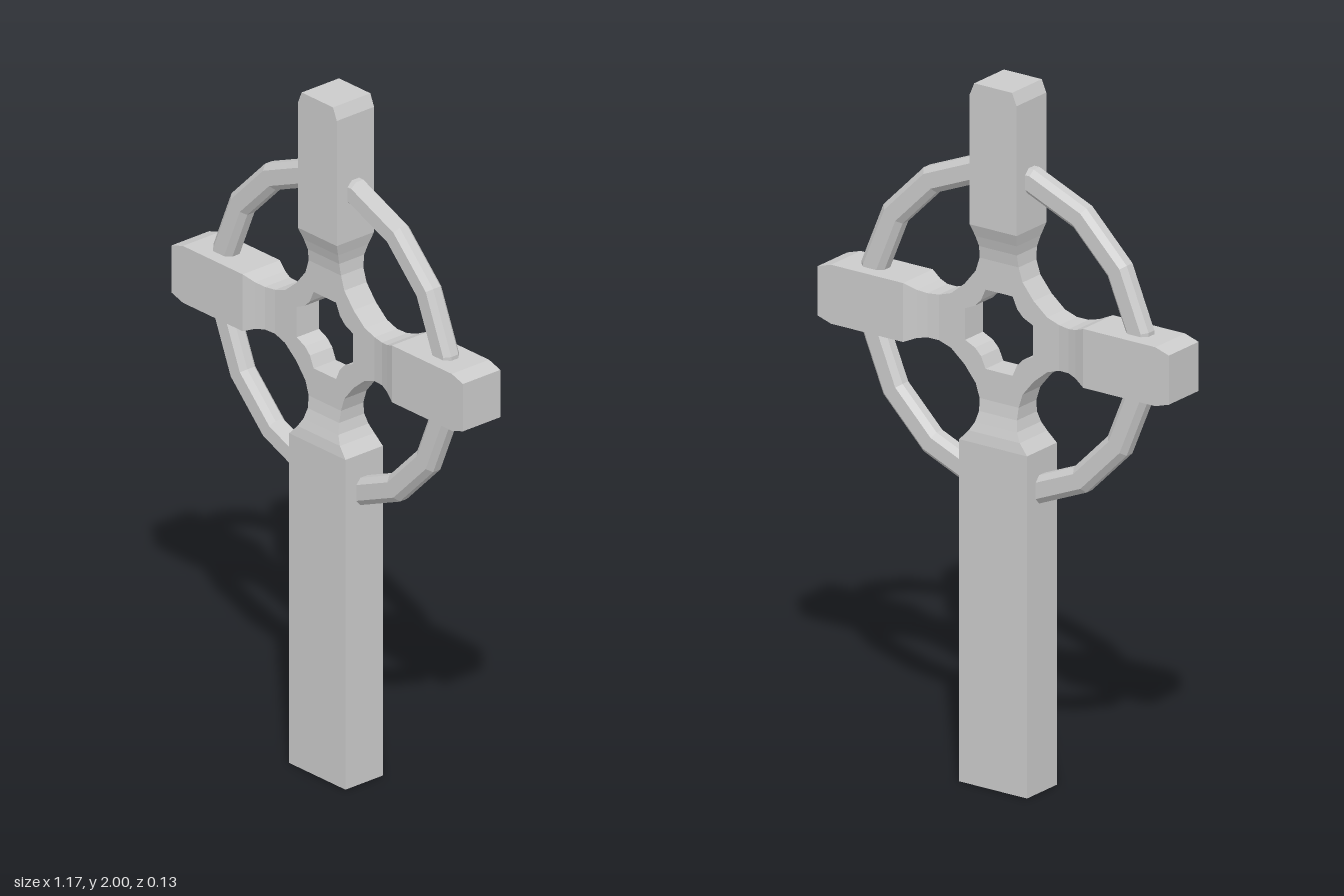
import * as THREE from 'three';

const CY = 1.295; // height of the hub centre
const material = new THREE.MeshStandardMaterial({ color: 0xcccccc, flatShading: true, side: THREE.DoubleSide });

// Skin a list of closed cross-sections (arrays of Vector3); capEnd closes the last one
function loft(sections, { loop = false, capEnd = false } = {}) {
  const n = sections[0].length, pos = [], index = [];
  sections.forEach(s => s.forEach(p => pos.push(p.x, p.y, p.z)));
  const rows = loop ? sections.length : sections.length - 1;
  for (let i = 0; i < rows; i++) {
    const a = i * n, b = ((i + 1) % sections.length) * n;
    for (let j = 0; j < n; j++) {
      const k = (j + 1) % n;
      index.push(a + j, a + k, b + k, a + j, b + k, b + j);
    }
  }
  if (capEnd) {
    const e = (sections.length - 1) * n;
    for (let j = 1; j < n - 1; j++) index.push(e, e + j, e + j + 1);
  }
  const g = new THREE.BufferGeometry();
  g.setAttribute('position', new THREE.Float32BufferAttribute(pos, 3));
  g.setIndex(index);
  const flat = g.toNonIndexed();
  flat.computeVertexNormals();
  return flat;
}

// Arm growing along +y from the hub; stations are [distance, half width, half depth]
function armGeometry(stations, capEnd) {
  return loft(stations.map(([d, w, t]) => [
    new THREE.Vector3(-w, d, t), new THREE.Vector3(w, d, t),
    new THREE.Vector3(w, d, -t), new THREE.Vector3(-w, d, -t),
  ]), { capEnd });
}

// Pierced hub plate with hollowed corners
function hubGeometry() {
  const quarter = (points) => {
    const out = [];
    for (let q = 0; q < 4; q++) {
      points.forEach(([x, y]) => out.push(new THREE.Vector2(x, y).rotateAround(new THREE.Vector2(), q * Math.PI / 2)));
    }
    return out;
  };
  const shape = new THREE.Shape(quarter([[0.2, 0.065], [0.16, 0.078], [0.115, 0.115], [0.078, 0.16], [0.065, 0.2]]));
  shape.holes.push(new THREE.Path(quarter([[0.113, 0.045], [0.08, 0.06], [0.06, 0.08], [0.045, 0.113]])));
  return new THREE.ExtrudeGeometry(shape, { depth: 0.08, bevelEnabled: false }).translate(0, 0, -0.04);
}

// Sixteen-sided ring with a slim octagonal section
function ringGeometry() {
  const profile = [[0.038, 0.013], [0.022, 0.028], [-0.022, 0.028], [-0.038, 0.013],
    [-0.038, -0.013], [-0.022, -0.028], [0.022, -0.028], [0.038, -0.013]];
  const sections = [];
  for (let i = 0; i < 16; i++) {
    const a = -(i + 0.5) * Math.PI / 8;
    sections.push(profile.map(([r, z]) =>
      new THREE.Vector3(Math.cos(a) * (0.449 + r), Math.sin(a) * (0.449 + r), z)));
  }
  return loft(sections, { loop: true });
}

export function createModel() {
  const model = new THREE.Group();
  model.name = 'ringedCross';
  const add = (name, geometry, turn = 0) => {
    const mesh = new THREE.Mesh(geometry, material);
    mesh.name = name;
    mesh.position.y = CY;
    mesh.rotation.z = turn;
    model.add(mesh);
  };

  // Shared waist between the hub and each arm
  const waist = [[0.2, 0.065, 0.04], [0.235, 0.063, 0.045], [0.265, 0.069, 0.054]];
  const sideArm = [...waist, [0.3, 0.084, 0.067], [0.54, 0.084, 0.067], [0.585, 0.07, 0.067]];
  const topArm = [...waist, [0.3, 0.078, 0.067], [0.67, 0.078, 0.067], [0.705, 0.063, 0.067]];
  const shaft = [...waist.slice(0, 2), [0.265, 0.07, 0.054], [0.29, 0.085, 0.062],
    [0.32, 0.113, 0.067], [CY, 0.113, 0.067]];

  add('hub', hubGeometry());
  add('ring', ringGeometry());
  add('topArm', armGeometry(topArm, true));
  add('leftArm', armGeometry(sideArm, true), -Math.PI / 2);
  add('rightArm', armGeometry(sideArm, true), Math.PI / 2);
  add('shaft', armGeometry(shaft, false), Math.PI); // open underneath
  return model;
}
